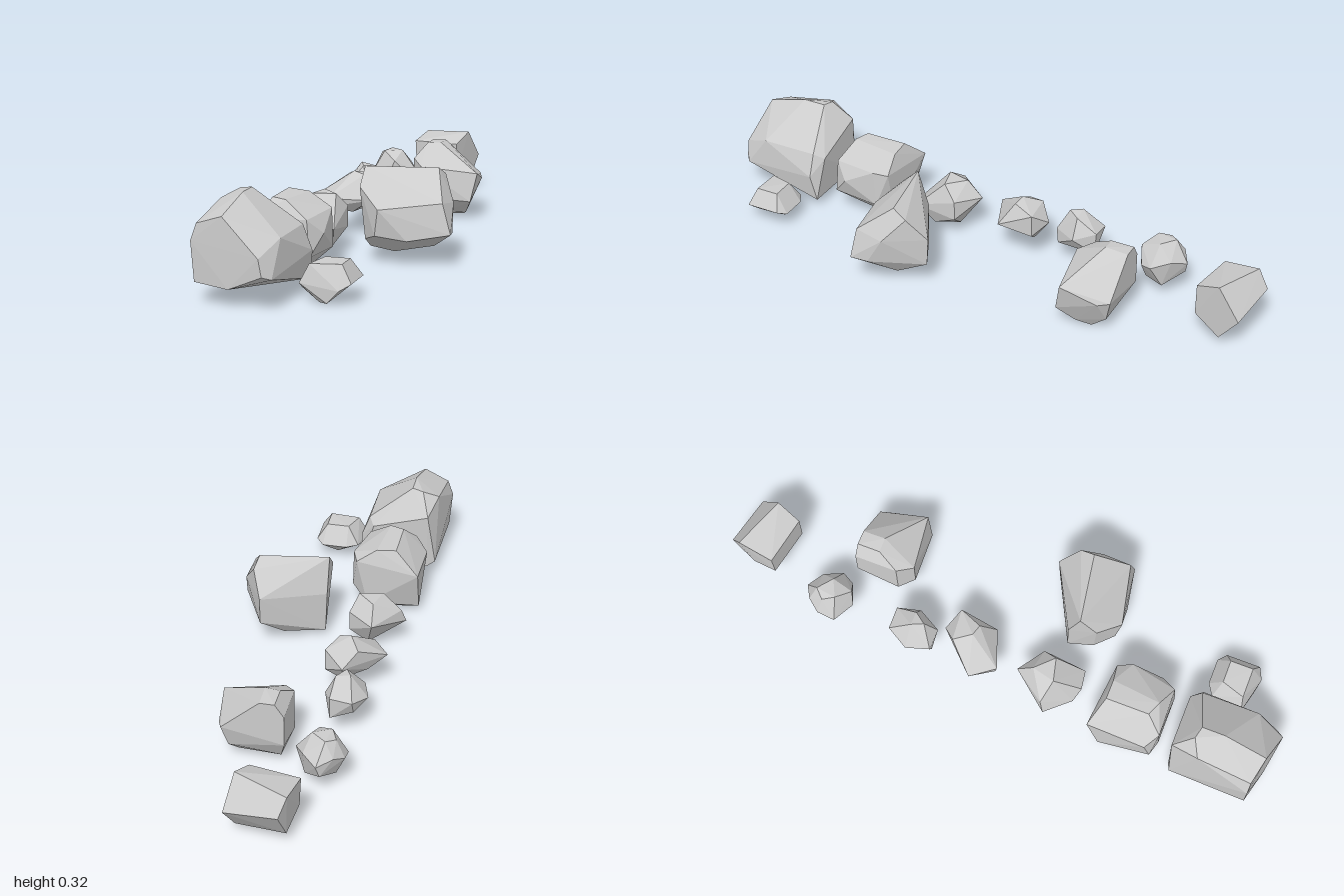
import * as THREE from 'three';
import { ConvexGeometry } from 'three/addons/geometries/ConvexGeometry.js';

const stone = new THREE.MeshStandardMaterial({ color: 0xcccccc, flatShading: true });

// A faceted rock: the hull of a few corners (in hundredths), pivoted at its own centre.
function rock(name, ...corners) {
  const points = corners.map(([x, y, z]) => new THREE.Vector3(x, y, z).multiplyScalar(0.01));
  const centre = new THREE.Box3().setFromPoints(points).getCenter(new THREE.Vector3());
  const geometry = new ConvexGeometry(points.map((p) => p.sub(centre)));
  const mesh = new THREE.Mesh(geometry, stone);
  mesh.name = name;
  mesh.position.copy(centre);
  return mesh;
}

export function createModel() {
  const group = new THREE.Group();
  group.name = 'rockTrail';

  // Large boulder at the front: front face, ridge, inner side, back
  group.add(rock('frontBoulder',
    [-21, 28, 97], [-8.5, 16.5, 100], [-7.5, 11, 100], [-19, 6, 98], [-31, 6.8, 95], [-32, 19.5, 95], [-30, 25, 95],
    [-20, 32.5, 82], [-20, 32.5, 74], [-24, 32, 73], [-29.5, 29, 76],
    [-5, 21, 90], [-5, 21, 70], [-2, 13, 70], [-5, 10, 98], [-3, 3.5, 68],
    [-30, 6, 68], [-27, 25, 66.5], [-7, 19, 66.5], [-27, 4, 67]));

  // Small stone beside the boulder
  group.add(rock('frontPebble',
    [4, 12.5, 75], [12, 12.5, 75], [12, 12.5, 83], [1.5, 12, 83], [15.5, 7, 85], [15.5, 7, 73], [12, 5, 87],
    [-1.5, 6, 84], [8, 0.7, 86], [5, 0.5, 84], [-1.5, 4, 81], [4, 6, 70.5], [13, 6, 70.5], [0, 6, 73], [8, 1.5, 75]));

  // Blocky rock behind the boulder
  group.add(rock('secondRock',
    [-20, 25.7, 41], [-13, 25, 41], [-20, 25.7, 56], [-15, 25.5, 58],
    [-28.5, 18, 37.5], [-28.5, 16, 58], [-28.5, 3, 42], [-27, 5, 60],
    [-24, 20, 61.5], [-7, 20, 61], [-6, 8, 61.5], [-22, 6, 61.5],
    [-4, 21, 45], [-3, 15, 56], [-4, 8, 44], [-6, 20, 40],
    [-23, 0.3, 45], [-12.5, 0.3, 49], [-10, 3, 40]));

  // Large ridged rock on the left
  group.add(rock('leftBoulder',
    [0.5, 30.8, 24], [24.5, 30.8, 20], [25.5, 28, 15],
    [8.5, 19, 36.5], [29, 21.5, 32], [32, 11.5, 33], [18, 9, 35.5], [7, 10, 35], [0.5, 25, 30], [2, 7.5, 29],
    [30, 20, 22], [31, 11, 27], [22, 20, 8.5], [22, 10, 9], [0.5, 18, 20], [1, 3, 20],
    [23, 4.5, 20], [10, 2.2, 22], [15, 3, 16]));

  // Wedge-like rock, third in the row
  group.add(rock('thirdRock',
    [-17.5, 14, 8.5], [-8.5, 15, 15], [-8.5, 8, 15], [-8.5, 10, 30], [-15, 10, 31], [-19.5, 8, 29.5],
    [-27.5, 10, 21.5], [-26, 15, 20], [-17, 20, 14], [-11, 20, 20], [-19, 20, 22],
    [-15, 3, 16], [-11, 3, 24], [-20, 4, 25]));

  // Two smaller stones in the middle of the row
  group.add(rock('middleStone',
    [-13, 15, -19.5], [-6.5, 20, -16], [-6.5, 12, -16], [-6.5, 13, -3], [-20, 14, 2], [-20, 11, 1.5], [-26, 14, -6],
    [-17.5, 20, -15], [-14, 22, -9], [-10, 21, -8], [-12, 8, -14.5], [-13, 8.5, -4], [-20, 10, -10]));
  group.add(rock('smallStone',
    [-20, 15, -37.5], [-12.5, 16, -37.5], [-9.5, 13, -30], [-14, 13, -22], [-21.5, 13, -22], [-24, 13, -30],
    [-16, 20.5, -26], [-13, 20, -30], [-18, 21, -30], [-13, 8, -23], [-20, 9, -22], [-12.5, 8, -37], [-20, 10, -35]));

  // Block on the left toward the back
  group.add(rock('leftBlock',
    [6, 25.5, -57], [1, 25.5, -57], [1, 25.5, -49], [6, 26, -49], [-2, 21, -57], [-2, 21, -42],
    [2, 19, -37], [22, 17, -40], [20, 7, -38], [19, 14, -57], [20.5, 13, -53],
    [17, 2, -44], [15, 0.3, -49], [8, 0.3, -49], [8, 1, -44], [0, 3, -53], [-2, 10, -57],
    [-2, 6, -42], [2, 8, -37], [17, 6, -55]));

  // Rounded pebble near the end
  group.add(rock('roundPebble',
    [-15, 13, -70], [-10, 15, -66], [-6.5, 13, -60], [-8.5, 12, -56], [-15.5, 11, -53], [-23, 11, -57],
    [-23, 13, -63], [-20, 15, -67], [-17, 20, -65], [-12, 20, -61], [-18, 20, -58], [-13, 17, -54],
    [-16, 9, -69], [-10, 5, -63], [-15, 4, -60], [-20, 6, -62], [-13, 5, -56], [-20, 19, -62]));

  // Roof-shaped rock at the back
  group.add(rock('backRock',
    [-12, 21.5, -96], [6, 23, -89], [-13.5, 19.5, -83.5], [3.5, 19.5, -80.5], [3.5, 8.5, -80.5],
    [-13, 9, -83.5], [-10, 16, -100], [8, 13, -97], [-11, 5, -93], [6, 3.5, -90]));

  return group;
}
